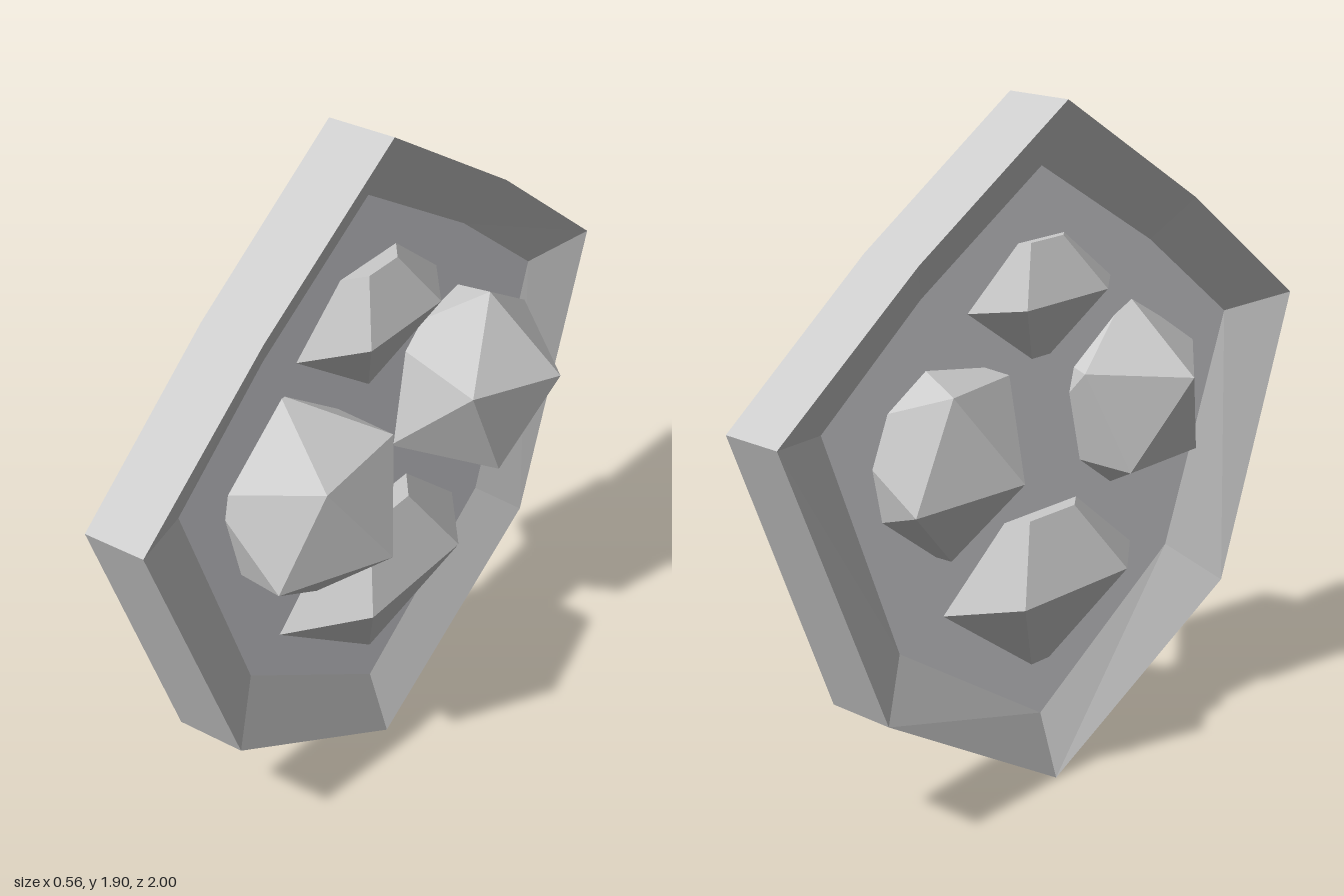
import * as THREE from 'three';

const CORE = [-0.035, -0.065]; // x of the two panel faces

// Corners from the top down the +z side: outer [z, y], inner [z, y], outer rim [x max, x min]
const HALF = [
  { o: [0, 1.9], i: [0, 1.72], x: [0.045, -0.155] },
  { o: [0.535, 1.565], i: [0.445, 1.45], x: [0.04, -0.15] },
  { o: [1, 1.21], i: [0.79, 1.18], x: [0.035, -0.145] },
  { o: [0.68, 0.405], i: [0.54, 0.53], x: [0.037, -0.165] },
  { o: [0, 0], i: [0, 0.18], x: [0.025, -0.125] },
];
const mirror = (c) => ({ o: [-c.o[0], c.o[1]], i: [-c.i[0], c.i[1]], x: c.x });
const CORNERS = [...HALF, ...HALF.slice(1, -1).reverse().map(mirror)];

function addMesh(group, name, geometry, material) {
  const mesh = new THREE.Mesh(geometry, material);
  mesh.name = name;
  group.add(mesh);
  return mesh;
}

// Frame: a four-sided section at each corner, joined in a closed loop
function frameGeometry() {
  const sections = CORNERS.map(({ o, i, x }) => [
    [x[0], o[1], o[0]],
    [CORE[0], i[1], i[0]],
    [CORE[1], i[1], i[0]],
    [x[1], o[1], o[0]],
  ]);
  const positions = [];
  sections.forEach((a, k) => {
    const b = sections[(k + 1) % sections.length];
    for (let j = 0; j < 4; j++) {
      const n = (j + 1) % 4;
      positions.push(...a[j], ...b[j], ...b[n], ...a[j], ...b[n], ...a[n]);
    }
  });
  const geometry = new THREE.BufferGeometry();
  geometry.setAttribute('position', new THREE.Float32BufferAttribute(positions, 3));
  geometry.computeVertexNormals();
  return geometry;
}

// Panel: thin slab filling the frame opening
function panelGeometry() {
  const shape = new THREE.Shape(CORNERS.map(({ i }) => new THREE.Vector2(...i)));
  return new THREE.ExtrudeGeometry(shape, { depth: CORE[0] - CORE[1], bevelEnabled: false })
    .rotateY(-Math.PI / 2)
    .translate(CORE[0], 0, 0);
}

// Six-sided cut stone, flattened across the plate
function cutStoneGeometry(tip, girdle, table, girdleRadius, tableRadius) {
  const profile = [[0, tip], [girdleRadius, girdle], [tableRadius, table], [0, table]];
  return new THREE.LatheGeometry(profile.map((p) => new THREE.Vector2(...p)), 6)
    .scale(0.45, 1, 1)
    .translate(-0.037, 0, 0);
}

// Rotation basis whose first axis is a and whose second lies in the plane of a and b
function basis(a, b) {
  const e1 = a.clone().normalize();
  const e3 = e1.clone().cross(b).normalize();
  return new THREE.Matrix4().makeBasis(e1, e3.clone().cross(e1), e3);
}

// Round stone: icosahedron turned so two neighbouring corners point along v and w
function roundStoneGeometry(center, v, w) {
  const t = (1 + Math.sqrt(5)) / 2;
  const from = basis(new THREE.Vector3(-1, t, 0), new THREE.Vector3(1, t, 0));
  const to = basis(new THREE.Vector3(...v), new THREE.Vector3(...w));
  return new THREE.IcosahedronGeometry(0.296, 0)
    .applyMatrix4(to.multiply(from.invert()))
    .translate(...center);
}

export function createModel() {
  const group = new THREE.Group();
  group.name = 'gemPlaque';
  const grey = new THREE.MeshStandardMaterial({ color: 0xcccccc, flatShading: true });
  const pale = new THREE.MeshStandardMaterial({ color: 0xf0f0f5, flatShading: true });

  addMesh(group, 'frame', frameGeometry(), grey);
  addMesh(group, 'panel', panelGeometry(), pale);

  addMesh(group, 'upperCutStone', cutStoneGeometry(1.16, 1.38, 1.53, 0.315, 0.125), grey);
  addMesh(group, 'lowerCutStone', cutStoneGeometry(0.285, 0.585, 0.78, 0.415, 0.18), grey);

  addMesh(group, 'frontRoundStone',
    roundStoneGeometry([0, 1.02, 0.36], [0.28, -0.09, -0.02], [0.044, -0.295, -0.01]), grey);
  addMesh(group, 'backRoundStone',
    roundStoneGeometry([0, 1.025, -0.38], [0.28, 0.045, -0.08], [0.092, 0.285, -0.005]), grey);

  return group;
}
